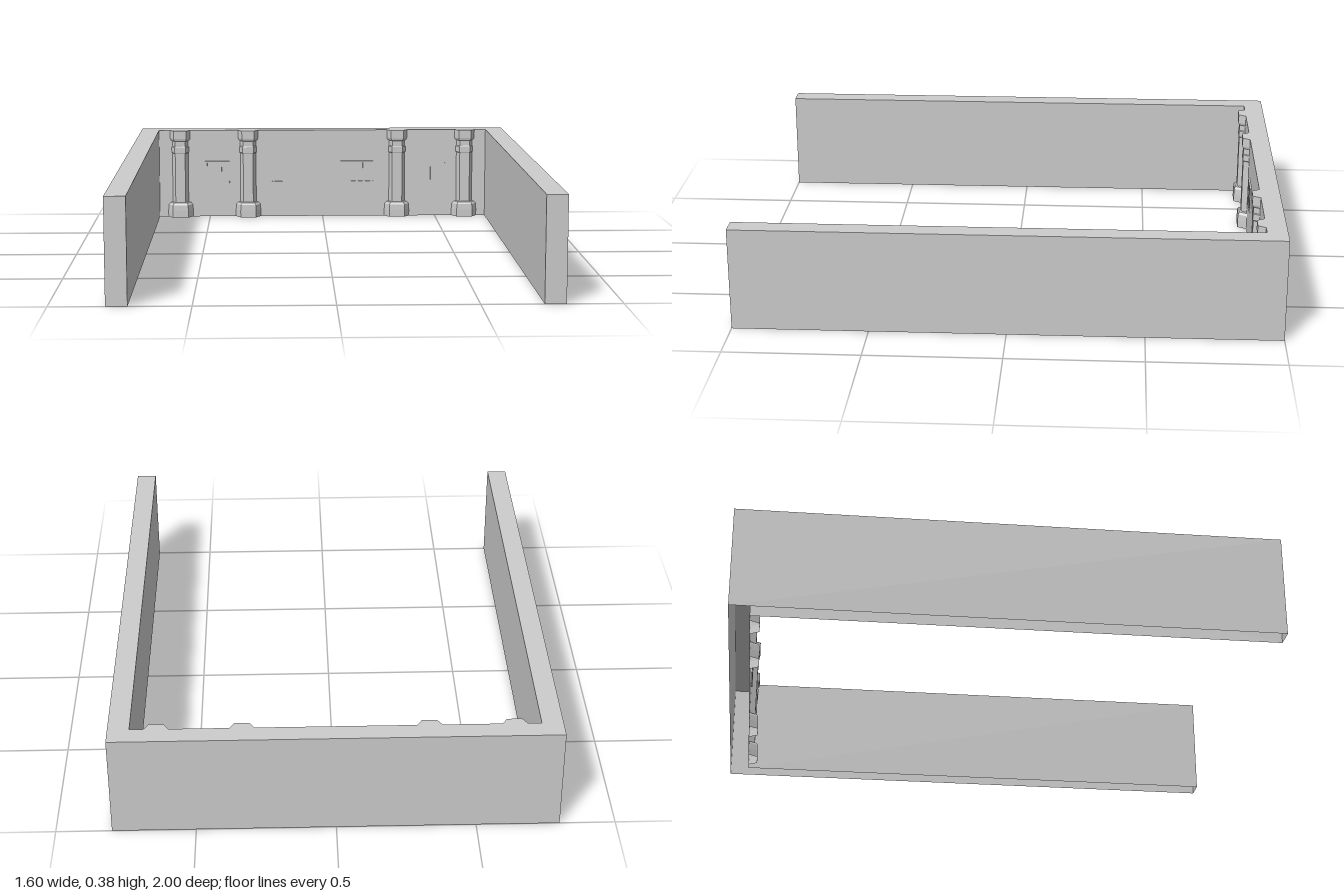
import * as THREE from 'three';
import { mergeGeometries } from 'three/addons/utils/BufferGeometryUtils.js';

const HEIGHT = 0.385;
const INNER_X = 0.723;
const WALL_Z = -0.925; // inner face of the back wall

// Flat-faceted shell through rings of [x, z] outlines, capped on top and open below.
function shell(levels, closed) {
  const pos = [];
  for (let l = 0; l < levels.length - 1; l++) {
    const lo = levels[l], hi = levels[l + 1], n = lo.ring.length;
    for (let i = 0; i < (closed ? n : n - 1); i++) {
      const j = (i + 1) % n;
      const a = [lo.ring[i][0], lo.y, lo.ring[i][1]];
      const b = [lo.ring[j][0], lo.y, lo.ring[j][1]];
      const c = [hi.ring[j][0], hi.y, hi.ring[j][1]];
      const d = [hi.ring[i][0], hi.y, hi.ring[i][1]];
      pos.push(...a, ...b, ...c, ...a, ...c, ...d);
    }
  }
  const sides = new THREE.BufferGeometry();
  sides.setAttribute('position', new THREE.Float32BufferAttribute(pos, 3));
  sides.computeVertexNormals();

  const top = levels[levels.length - 1];
  const outline = new THREE.Shape(top.ring.map(([x, z]) => new THREE.Vector2(x, -z)));
  const cap = new THREE.ShapeGeometry(outline).toNonIndexed();
  cap.deleteAttribute('uv');
  cap.rotateX(-Math.PI / 2).translate(0, top.y, 0);
  return mergeGeometries([sides, cap]);
}

export function createModel() {
  const model = new THREE.Group();
  model.name = 'courtyardWalls';
  const stone = new THREE.MeshStandardMaterial({ color: 0xcccccc, side: THREE.DoubleSide });
  stone.name = 'grey stone';

  const add = (parent, geometry, name, x = 0, y = 0, z = 0) => {
    const mesh = new THREE.Mesh(geometry, stone);
    mesh.name = name;
    mesh.position.set(x, y, z);
    parent.add(mesh);
  };

  // U-shaped hollow wall
  const plan = [
    [-0.8, -1], [-0.8, 1], [-INNER_X, 1], [-INNER_X, WALL_Z],
    [INNER_X, WALL_Z], [INNER_X, 1], [0.8, 1], [0.8, -1],
  ];
  add(model, shell([{ y: 0, ring: plan }, { y: HEIGHT, ring: plan }], true), 'walls');

  // Half-octagonal columns: half width and height of each level
  const profile = [
    [0.055, 0], [0.055, 0.03], [0.053, 0.055], [0.045, 0.064], [0.035, 0.066],
    [0.035, 0.284], [0.038, 0.287], [0.038, 0.312], [0.035, 0.315],
    [0.035, 0.338], [0.041, 0.342], [0.044, 0.35], [0.044, HEIGHT],
  ];
  const columnGeometry = shell(profile.map(([w, y]) => ({
    y, ring: [[-w, 0], [-0.62 * w, 0.65 * w], [0.62 * w, 0.65 * w], [w, 0]],
  })), false);
  for (const x of [-0.63, -0.33, 0.33, 0.63]) add(model, columnGeometry, 'column', x, 0, WALL_Z);

  // Barred windows: two rails and five upright bars
  const rail = new THREE.BoxGeometry(0.145, 0.008, 0.008);
  const bar = new THREE.BoxGeometry(0.011, 0.09, 0.006);
  for (const x of [-0.485, -0.152, 0.152, 0.485]) {
    const windowGroup = new THREE.Group();
    windowGroup.name = 'barredWindow';
    windowGroup.position.set(x, 0.198, WALL_Z + 0.003);
    for (const y of [-0.045, 0.045]) add(windowGroup, rail, 'windowRail', 0, y, 0);
    for (let i = -2; i <= 2; i++) add(windowGroup, bar, 'windowBar', i * 0.032, 0, 0);
    model.add(windowGroup);
  }
  return model;
}
